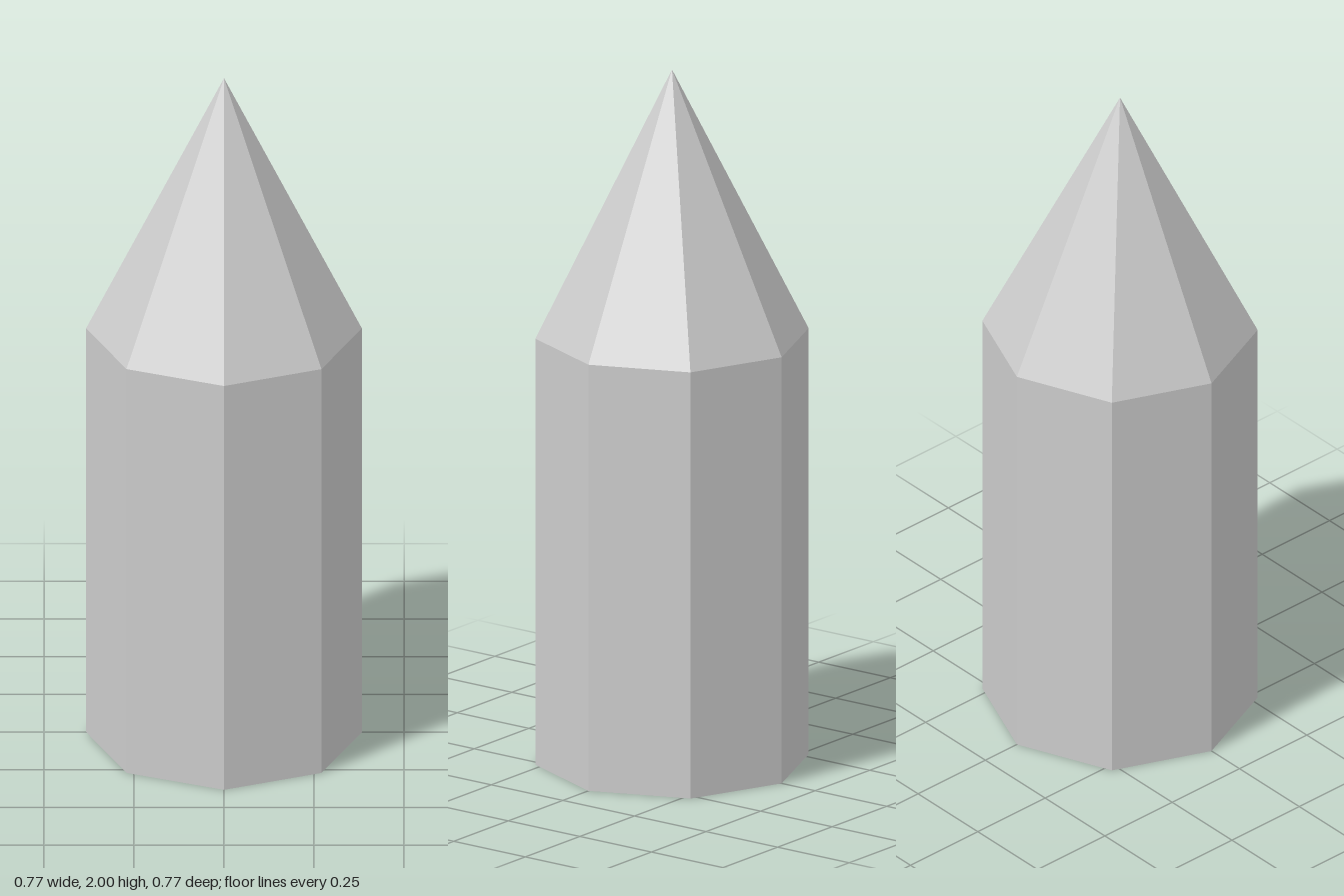
import * as THREE from 'three';

const SIDES = 8;
const RADIUS = 0.383;
const SHOULDER = 1.235; // height where the shaft meets the point
const HEIGHT = 2;

export function createModel() {
  const model = new THREE.Group();
  model.name = 'pointedPost';
  const material = new THREE.MeshStandardMaterial({ color: 0xcccccc, flatShading: true });

  // Octagonal shaft standing on the ground
  const shaft = new THREE.Mesh(
    new THREE.CylinderGeometry(RADIUS, RADIUS, SHOULDER, SIDES), material);
  shaft.name = 'shaft';
  shaft.position.y = SHOULDER / 2;

  // Pyramid point, open underneath where it sits on the shaft
  const tipHeight = HEIGHT - SHOULDER;
  const tip = new THREE.Mesh(
    new THREE.ConeGeometry(RADIUS, tipHeight, SIDES, 1, true), material);
  tip.name = 'tip';
  tip.position.y = SHOULDER + tipHeight / 2;

  model.add(shaft, tip);
  return model;
}
